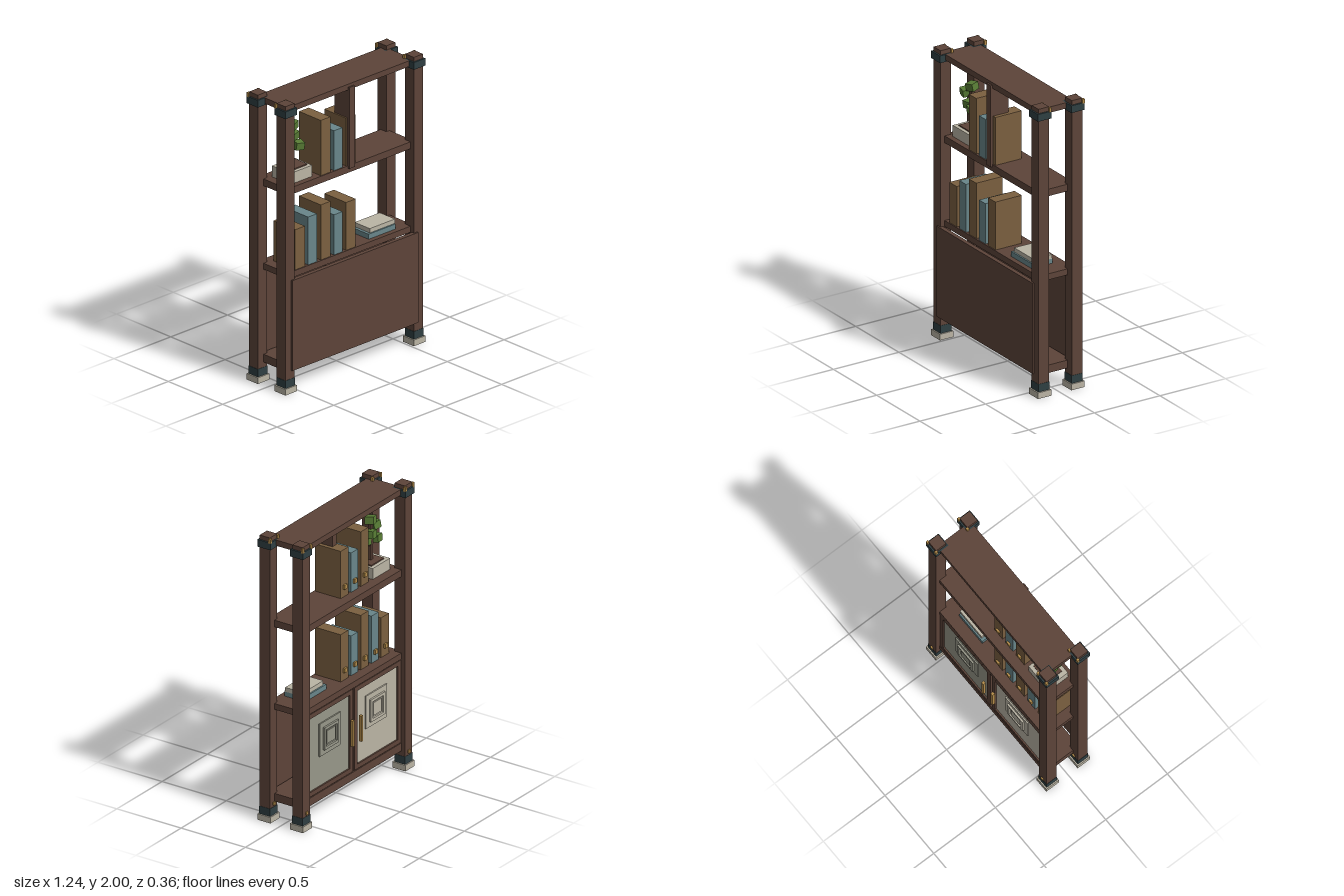
import * as THREE from 'three';

const mat = (name, color) => {
  const m = new THREE.MeshStandardMaterial({ color });
  m.name = name;
  return m;
};

export function createModel() {
  const wood = mat('dark wood', 0x5d4439);
  const slate = mat('slate collar', 0x2f3f42);
  const stone = mat('pale stone', 0xbbb5a5);
  const grey = mat('grey panel', 0x989889);
  const gold = mat('brass', 0xb48c4a);
  const tan = mat('tan book', 0x7b6040);
  const teal = mat('teal book', 0x69868a);
  const green = mat('leaf green', 0x587c35);

  const model = new THREE.Group();
  model.name = 'bookcase';

  // Box given by its lower and upper limits on each axis
  const box = (parent, name, material, [x0, x1], [y0, y1], [z0, z1]) => {
    const mesh = new THREE.Mesh(new THREE.BoxGeometry(x1 - x0, y1 - y0, z1 - z0), material);
    mesh.position.set((x0 + x1) / 2, (y0 + y1) / 2, (z0 + z1) / 2);
    mesh.name = name;
    parent.add(mesh);
    return mesh;
  };
  const group = (name) => {
    const g = new THREE.Group();
    g.name = name;
    model.add(g);
    return g;
  };
  const around = (c, w) => [c - w / 2, c + w / 2];

  // Square ring lying in the xy plane, with its outer face towards -z
  const ring = (parent, name, material, cx, cy, w, h, bar, z0, z1) => {
    const s = new THREE.Shape();
    s.moveTo(-w / 2, -h / 2).lineTo(w / 2, -h / 2).lineTo(w / 2, h / 2).lineTo(-w / 2, h / 2).closePath();
    const a = w / 2 - bar, b = h / 2 - bar;
    const hole = new THREE.Path();
    hole.moveTo(-a, -b).lineTo(-a, b).lineTo(a, b).lineTo(a, -b).closePath();
    s.holes.push(hole);
    const geo = new THREE.ExtrudeGeometry(s, { depth: z1 - z0, bevelEnabled: false });
    const mesh = new THREE.Mesh(geo, material);
    mesh.position.set(cx, cy, z0);
    mesh.name = name;
    parent.add(mesh);
  };

  // Corner posts with feet, collars and brass studs
  for (const x of [-0.566, 0.566]) {
    for (const z of [-0.128, 0.126]) {
      const post = group('cornerPost');
      box(post, 'post', wood, around(x, 0.08), [0.04, 2], around(z, 0.08));
      box(post, 'foot', stone, around(x, 0.102), [0, 0.042], around(z, 0.102));
      box(post, 'lowerCollar', slate, around(x, 0.084), [0.042, 0.096], around(z, 0.084));
      box(post, 'upperCollar', slate, around(x, 0.102), [1.92, 1.97], around(z, 0.102));
      for (const s of [-1, 1]) {
        box(post, 'topStud', gold, around(x + s * 0.043, 0.017), [1.965, 1.995], around(z - 0.043, 0.017));
      }
      box(post, 'lowerStud', gold, around(x, 0.02), around(0.12, 0.02), [z - 0.05, z - 0.039]);
    }
  }

  // Shelves from bottom to top
  for (const y of [[0.13, 0.185], [0.775, 0.817], [1.355, 1.403], [1.93, 1.97]]) {
    box(model, 'shelf', wood, [-0.555, 0.555], y, [-0.14, 0.134]);
  }
  box(model, 'cabinetPanel', wood, [-0.555, 0.555], [0.152, 0.779], [0.147, 0.177]);
  box(model, 'upperDivider', wood, [-0.024, 0.024], [1.386, 1.95], [0.01, 0.146]);

  // Two cabinet doors at the back
  for (const s of [-1, 1]) {
    const door = group('cabinetDoor');
    const cx = s * 0.265, cy = 0.48, ex = s * 0.256, ey = 0.545;
    const panel = s > 0 ? grey : stone;
    ring(door, 'doorFrame', wood, cx, cy, 0.515, 0.58, 0.032, -0.139, -0.108);
    box(door, 'doorBack', wood, around(cx, 0.46), around(cy, 0.53), [-0.118, -0.108]);
    box(door, 'doorPanel', panel, around(cx, 0.452), around(cy, 0.517), [-0.128, -0.118]);
    box(door, 'ornamentPlate', panel, around(ex, 0.23), around(ey, 0.23), [-0.137, -0.128]);
    ring(door, 'ornamentFrame', panel, ex, ey, 0.158, 0.158, 0.02, -0.15, -0.137);
    box(door, 'ornamentCentre', panel, around(ex, 0.09), around(ey, 0.09), [-0.145, -0.137]);
    box(door, 'handle', gold, around(s * 0.047, 0.02), [0.39, 0.57], [-0.173, -0.153]);
  }

  // Standing books: left edge, right edge, shelf height, top, cover
  const books = [
    [-0.484, -0.397, 0.817, 1.096, tan],
    [-0.368, -0.291, 0.817, 1.149, teal],
    [-0.257, -0.172, 0.817, 1.2, tan],
    [-0.141, -0.066, 0.817, 1.096, teal],
    [-0.034, 0.05, 0.817, 1.149, tan],
    [-0.257, -0.172, 1.403, 1.787, tan],
    [-0.141, -0.066, 1.403, 1.68, teal],
    [-0.034, 0.05, 1.403, 1.735, tan],
  ];
  for (const [x0, x1, y0, y1, cover] of books) {
    const book = group('standingBook');
    box(book, 'cover', cover, [x0, x1], [y0, y1], [-0.073, 0.127]);
    box(book, 'spineStud', gold, around((x0 + x1) / 2, 0.03), around(y0 + 0.07, 0.03), [-0.086, -0.073]);
  }

  // Books lying flat
  box(model, 'lowerFlatBook', teal, [0.19, 0.426], [0.817, 0.852], [-0.06, 0.1]);
  box(model, 'upperFlatBook', stone, [0.21, 0.432], [0.852, 0.882], [-0.05, 0.09]);

  // Potted tree
  const plant = group('pottedTree');
  box(plant, 'pot', stone, [-0.493, -0.302], [1.403, 1.48], [-0.075, 0.095]);
  box(plant, 'soil', wood, [-0.462, -0.322], [1.48, 1.488], [-0.05, 0.07]);
  box(plant, 'trunk', wood, around(-0.397, 0.022), [1.48, 1.75], around(0.01, 0.022));
  const leaves = [
    [-0.398, 1.765, 0.01, 0.3], [-0.455, 1.71, 0.02, -0.2], [-0.372, 1.68, -0.01, 0.2],
    [-0.445, 1.625, 0.0, 0.15], [-0.362, 1.62, 0.03, -0.25],
  ];
  for (const [x, y, z, turn] of leaves) {
    const leaf = box(plant, 'leafClump', green, around(x, 0.06), around(y, 0.05), around(z, 0.06));
    leaf.rotation.set(0.1, turn, turn * 0.4);
    // Twig from the trunk to the clump
    const a = new THREE.Vector3(-0.397, y - 0.04, 0.01), b = new THREE.Vector3(x, y, z);
    const twig = box(plant, 'twig', wood, around(0, 0.012), around(0, a.distanceTo(b)), around(0, 0.012));
    twig.position.copy(a).lerp(b, 0.5);
    twig.quaternion.setFromUnitVectors(new THREE.Vector3(0, 1, 0), b.sub(a).normalize());
  }

  return model;
}
